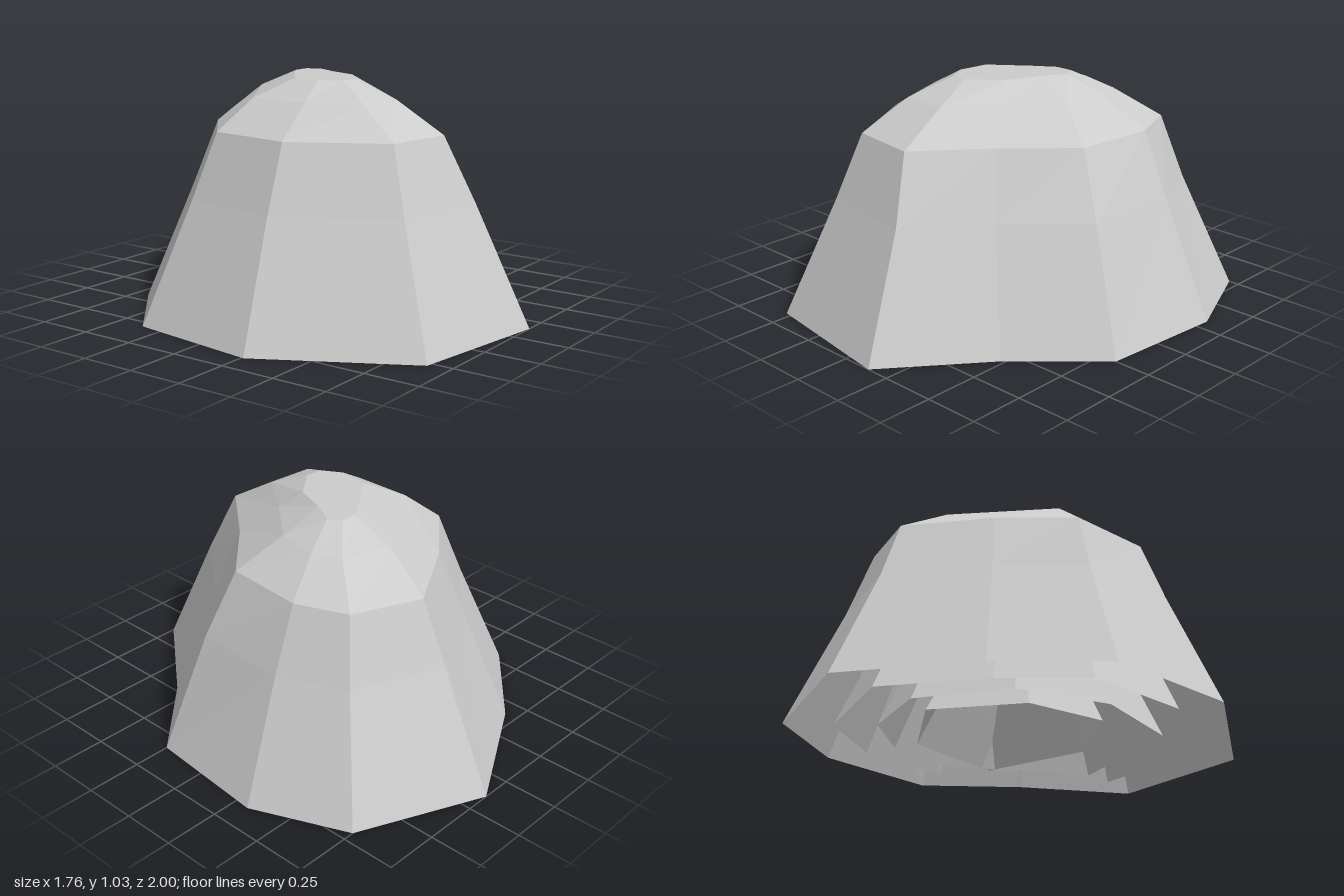
import * as THREE from 'three';

// Horizontal outlines of the rock from the ground up, corners as [x, z]
const base = [[0.14, -1], [0.7, -0.75], [0.88, -0.32], [0.83, 0.25], [0.48, 0.58],
  [0.14, 1], [-0.53, 0.9], [-0.88, 0.26], [-0.8, -0.36], [-0.41, -0.69]];
const waist = [[0.135, -0.75], [0.53, -0.575], [0.66, -0.28], [0.64, 0.165], [0.33, 0.44],
  [0.07, 0.765], [-0.39, 0.7], [-0.655, 0.21], [-0.59, -0.25], [-0.28, -0.51]];
const shoulder = [[0.15, -0.63], [0.45, -0.5], [0.54, -0.27], [0.51, 0.1], [0.24, 0.36],
  [0, 0.645], [-0.32, 0.6], [-0.54, 0.2], [-0.49, -0.19], [-0.21, -0.42]];
const crown = [[0.09, -0.4], [0.31, -0.33], [0.36, -0.2], [0.32, 0], [0.14, 0.21],
  [-0.02, 0.42], [-0.24, 0.4], [-0.33, 0.16], [-0.33, -0.12], [-0.12, -0.26]];
const top = [[0.09, -0.2], [0.17, -0.2], [0.2, -0.14], [0.14, -0.03], [0.08, 0.12],
  [-0.06, 0.23], [-0.14, 0.22], [-0.19, 0.13], [-0.17, -0.01], [0, -0.14]];
const heights = [0, 0.53, 0.82, 0.955, 1.035];

// Rims of the two smallest shells, which have fewer sides
const smallRim = [[0.08, -0.6], [0.4, -0.475], [0.55, -0.22], [0.53, 0.135],
  [0.12, 0.65], [-0.46, 0.43], [-0.51, -0.02], [-0.32, -0.41]];
const coreRim = [[0.12, -0.47], [0.44, -0.19], [0.44, 0.29],
  [-0.08, 0.37], [-0.37, 0.11], [-0.26, -0.25]];

// Stack of outlines that narrows from a rim
const taper = (rim) => [1, 0.76, 0.63, 0.4, 0.22].map((f) => rim.map(([x, z]) => [x * f, z * f]));

// Faceted shell: bands between the outlines and a flat cap, open below
function shellGeometry(rings, heightScale) {
  const n = rings[0].length;
  const positions = [];
  const index = [];
  rings.forEach((ring, l) => {
    for (const [x, z] of ring) positions.push(x, heights[l] * heightScale, z);
  });
  for (let l = 0; l < rings.length - 1; l++) {
    for (let i = 0; i < n; i++) {
      const a = l * n + i;
      const b = l * n + (i + 1) % n;
      index.push(a, a + n, b, b, a + n, b + n);
    }
  }
  const first = (rings.length - 1) * n;
  const center = rings.length * n;
  positions.push(0, heights[4] * heightScale, 0);
  for (let i = 0; i < n; i++) index.push(center, first + (i + 1) % n, first + i);

  const indexed = new THREE.BufferGeometry();
  indexed.setAttribute('position', new THREE.Float32BufferAttribute(positions, 3));
  indexed.setIndex(index);
  const geometry = indexed.toNonIndexed();
  geometry.computeVertexNormals();
  return geometry;
}

export function createModel() {
  const model = new THREE.Group();
  model.name = 'layeredRock';
  const material = new THREE.MeshStandardMaterial({
    color: 0xcccccc, flatShading: true, side: THREE.DoubleSide,
  });
  const addShell = (name, geometry) => {
    const shell = new THREE.Mesh(geometry, material);
    shell.name = name;
    model.add(shell);
  };

  // Outer rock with smaller shells nested inside it
  const outer = shellGeometry([base, waist, shoulder, crown, top], 1);
  addShell('outerShell', outer);
  addShell('middleShell', outer.clone().scale(0.79, 0.79, 0.79));
  addShell('smallShell', shellGeometry(taper(smallRim), 0.6));
  addShell('coreShell', shellGeometry(taper(coreRim), 0.4));
  return model;
}
